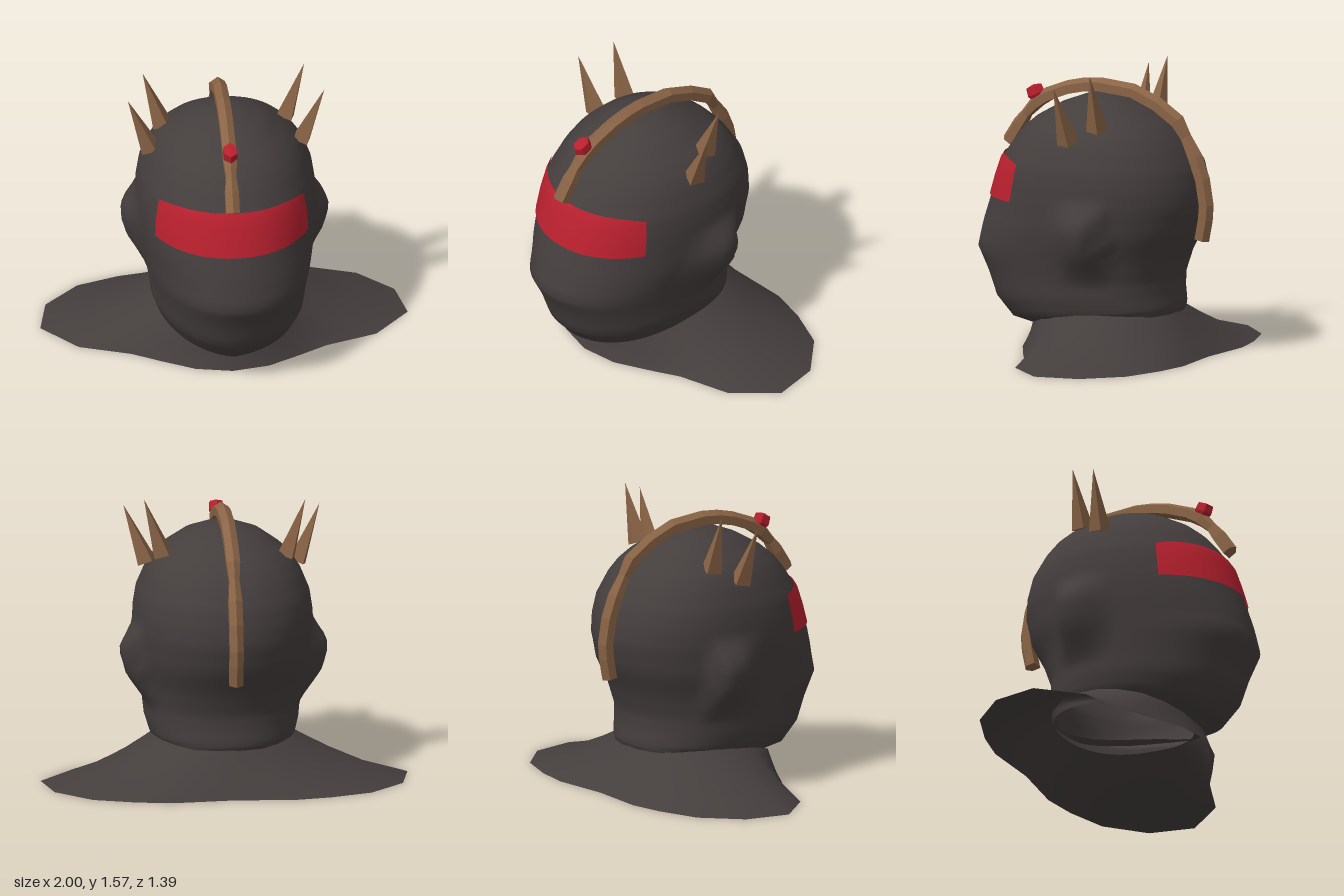
import * as THREE from 'three';

const V = (x, y, z) => new THREE.Vector3(x, y, z);
const { smoothstep } = THREE.MathUtils;
const SEG = 64;

// Skin between rows of points; rows run downward, points run to the right seen from outside
function loft(rows, closed, flat) {
  const n = rows[0].length, index = [];
  for (let j = 0; j < rows.length - 1; j++) {
    for (let i = 0; i < (closed ? n : n - 1); i++) {
      const k = (i + 1) % n;
      const a = j * n + i, b = j * n + k, c = a + n, d = b + n;
      index.push(a, c, b, b, c, d);
    }
  }
  let g = new THREE.BufferGeometry().setFromPoints(rows.flat());
  g.setIndex(index);
  if (flat) g = g.toNonIndexed();
  g.computeVertexNormals();
  return g;
}

// Head sections: half width, front y, front z, back y, back z
const SECTIONS = [
  [0.001, 1.395, -0.02, 1.395, -0.025],
  [0.10, 1.385, 0.09, 1.385, -0.13],
  [0.22, 1.34, 0.21, 1.34, -0.25],
  [0.33, 1.26, 0.35, 1.26, -0.39],
  [0.385, 1.205, 0.415, 1.205, -0.455],
  [0.425, 1.14, 0.47, 1.14, -0.51],
  [0.47, 1.03, 0.545, 1.03, -0.575],
  [0.485, 0.93, 0.58, 0.93, -0.602],
  [0.487, 0.83, 0.61, 0.83, -0.61],
  [0.475, 0.69, 0.655, 0.69, -0.58],
  [0.445, 0.53, 0.695, 0.55, -0.51],
  [0.425, 0.40, 0.63, 0.42, -0.465],
  [0.415, 0.25, 0.58, 0.34, -0.465],
  [0.39, 0.13, 0.48, 0.27, -0.475],
  [0.35, 0.10, 0.36, 0.24, -0.475],
  [0.35, 0.13, 0.30, 0.19, -0.45],
];

const mix = (a, b, t) => a.map((v, i) => v + (b[i] - v) * t);

function sectionPoint([w, yf, zf, yb, zb], a) {
  const s = Math.sin(a), c = Math.cos(a);
  const p = (v, e) => Math.sign(v) * Math.abs(v) ** e;
  const mid = 0.45 * zf + 0.55 * zb;
  // below the visor the right cheek is leaner and the left one fuller
  const low = 1 - smoothstep(yf, 0.58, 0.82);
  const cheek = 0.93 + low * (0.17 - 0.3 * smoothstep(s, -0.35, 0.35));
  const z = mid + (c > 0 ? p(c, cheek) * (zf - mid) : p(c, 0.93 - 0.1 * low) * (mid - zb));
  const t = Math.max(0, (zf - z) / (zf - zb));
  return V(w * p(s, 0.93), yf + (yb - yf) * Math.sqrt(t), z);
}

// Section at a given height of the upper head
function sectionAt(y) {
  const j = SECTIONS.findIndex((s) => s[1] <= y);
  const a = SECTIONS[j - 1], b = SECTIONS[j];
  return mix(a, b, (a[1] - y) / (a[1] - b[1]));
}

// Covered ears: swell smoothly from the front and end in a steep rear edge
function earSwell(y, z) {
  return 0.092 * smoothstep(y, 0.38, 0.62) * (1 - smoothstep(y, 0.72, 0.9))
    * (1 - smoothstep(z, -0.12, 0.08)) * smoothstep(z, -0.28, -0.22);
}

function headGeometry() {
  const sections = SECTIONS.flatMap((s, j) => {
    const next = SECTIONS[j + 1];
    return next ? [0, 1 / 3, 2 / 3].map((t) => mix(s, next, t)) : [s];
  });
  return loft(sections.map((s) => Array.from({ length: SEG }, (_, i) => {
    const p = sectionPoint(s, (i / SEG) * Math.PI * 2);
    p.x += Math.sign(p.x) * earSwell(p.y, p.z);
    return p;
  })), true);
}

// Visor band follows the head just above its surface
function visorGeometry() {
  const rows = [1, 0.87, 0.65, 0.43, 0.2, 0].map((v) => {
    const row = [];
    for (let i = -12; i <= 12; i++) {
      const u = i / 12;
      const top = 1.06 - 0.025 * u ** 4;
      const p = sectionPoint(sectionAt(0.828 + (top - 0.828) * v), u * (0.985 - 0.03 * v));
      p.x *= 1.015;
      p.z = p.z * 1.012 + 0.002;
      row.push(p);
    }
    return row;
  });
  return loft(rows, false);
}

// Shoulder collar: flat outline at the ground sweeping up to the neck
function collarGeometry() {
  const half = [[0, 0.41], [0.2, 0.37], [0.38, 0.27], [0.53, 0.18], [0.81, 0.08], [1, -0.14],
    [0.95, -0.39], [0.76, -0.58], [0.53, -0.66], [0.33, -0.695], [0, -0.67]];
  const outline = [...half, ...half.slice(1, -1).reverse().map(([x, z]) => [-x, z])];
  const n = outline.length;
  const rows = [1.12, 1, 0.75, 0.4, 0].map((t) => outline.map(([x, z], i) => {
    const a = (i / n) * Math.PI * 2, s = Math.abs(Math.sin(a));
    const nx = 0.43 * Math.sin(a), nz = -0.06 + 0.425 * Math.cos(a);
    const ny = 0.155 - 0.055 * Math.cos(a) + 0.055 * s * s;
    return V(x + (nx - x) * t, ny * t ** (1.05 + 0.4 * s), z + (nz - z) * t);
  }));
  return loft(rows, true);
}

// Ridged strap over the crown: z, y, section scale
function crestGeometry() {
  const path = [[0.575, 1.085, 1], [0.51, 1.185, 1], [0.465, 1.245, 0.75], [0.40, 1.315, 1],
    [0.33, 1.36, 1], [0.2, 1.41, 1], [0.1, 1.433, 1], [0, 1.442, 1], [-0.2, 1.425, 1],
    [-0.35, 1.365, 1], [-0.48, 1.28, 1], [-0.53, 1.195, 0.75], [-0.59, 1.09, 1],
    [-0.635, 0.97, 1], [-0.658, 0.83, 1], [-0.652, 0.75, 1], [-0.63, 0.635, 1]];
  const profile = [[0, 0.036], [-0.037, 0.012], [-0.037, -0.036], [0.037, -0.036], [0.037, 0.012]];
  const rows = path.map(([z, y, s], i) => {
    const a = path[Math.max(0, i - 1)], b = path[Math.min(path.length - 1, i + 1)];
    const dz = b[0] - a[0], dy = b[1] - a[1], l = Math.hypot(dz, dy);
    return profile.map(([px, pn]) => V(-0.015 + px * s, y - (dz / l) * pn * s, z + (dy / l) * pn * s));
  });
  // close both ends
  const cap = ([z, y]) => profile.map(() => V(-0.015, y, z));
  return loft([cap(path[0]), ...rows, cap(path[path.length - 1])], true, true);
}

function spikeGeometry(base, tip) {
  const dir = tip.clone().sub(base), h = dir.length();
  const g = new THREE.ConeGeometry(0.06, h, 4).toNonIndexed();
  g.computeVertexNormals();
  g.rotateY(0.5).translate(0, h / 2, 0);
  g.applyQuaternion(new THREE.Quaternion().setFromUnitVectors(V(0, 1, 0), dir.normalize()));
  return g.translate(base.x, base.y, base.z);
}

// Six-sided cut stone: broad crown over a point that passes into the strap
function gemGeometry() {
  const profile = [[0, -0.075], [0.056, 0], [0.05, 0.045], [0, 0.055]];
  const g = new THREE.LatheGeometry(profile.map(([r, y]) => new THREE.Vector2(r, y)), 6).toNonIndexed();
  g.scale(0.78, 1, 1);
  g.computeVertexNormals();
  return g.rotateX(0.4).translate(-0.015, 1.352, 0.403);
}

export function createModel() {
  const group = new THREE.Group();
  const material = (name, color, side = THREE.FrontSide) => {
    const m = new THREE.MeshStandardMaterial({ color, side });
    m.name = name;
    return m;
  };
  const cloth = material('charcoal', 0x443e3d, THREE.DoubleSide);
  const red = material('red', 0xb8202e, THREE.DoubleSide);
  const bronze = material('bronze', 0x8a6446);
  const add = (name, geometry, mat) => {
    const mesh = new THREE.Mesh(geometry, mat);
    mesh.name = name;
    group.add(mesh);
  };

  add('head', headGeometry(), cloth);
  add('collar', collarGeometry(), cloth);
  add('visor', visorGeometry(), red);
  add('crest', crestGeometry(), bronze);
  add('gem', gemGeometry(), red);

  for (const side of [1, -1]) {
    const label = side > 0 ? 'left' : 'right';
    const lift = side > 0 ? 0.02 : 0;
    add(label + 'OuterSpike', spikeGeometry(V(side * 0.41, 1.165 + lift, -0.025), V(side * 0.535, 1.48 + lift, -0.005)), bronze);
    add(label + 'InnerSpike', spikeGeometry(V(side * 0.335, 1.235 + lift, -0.165), V(side * 0.44, 1.55 + lift, -0.175)), bronze);
  }
  return group;
}
